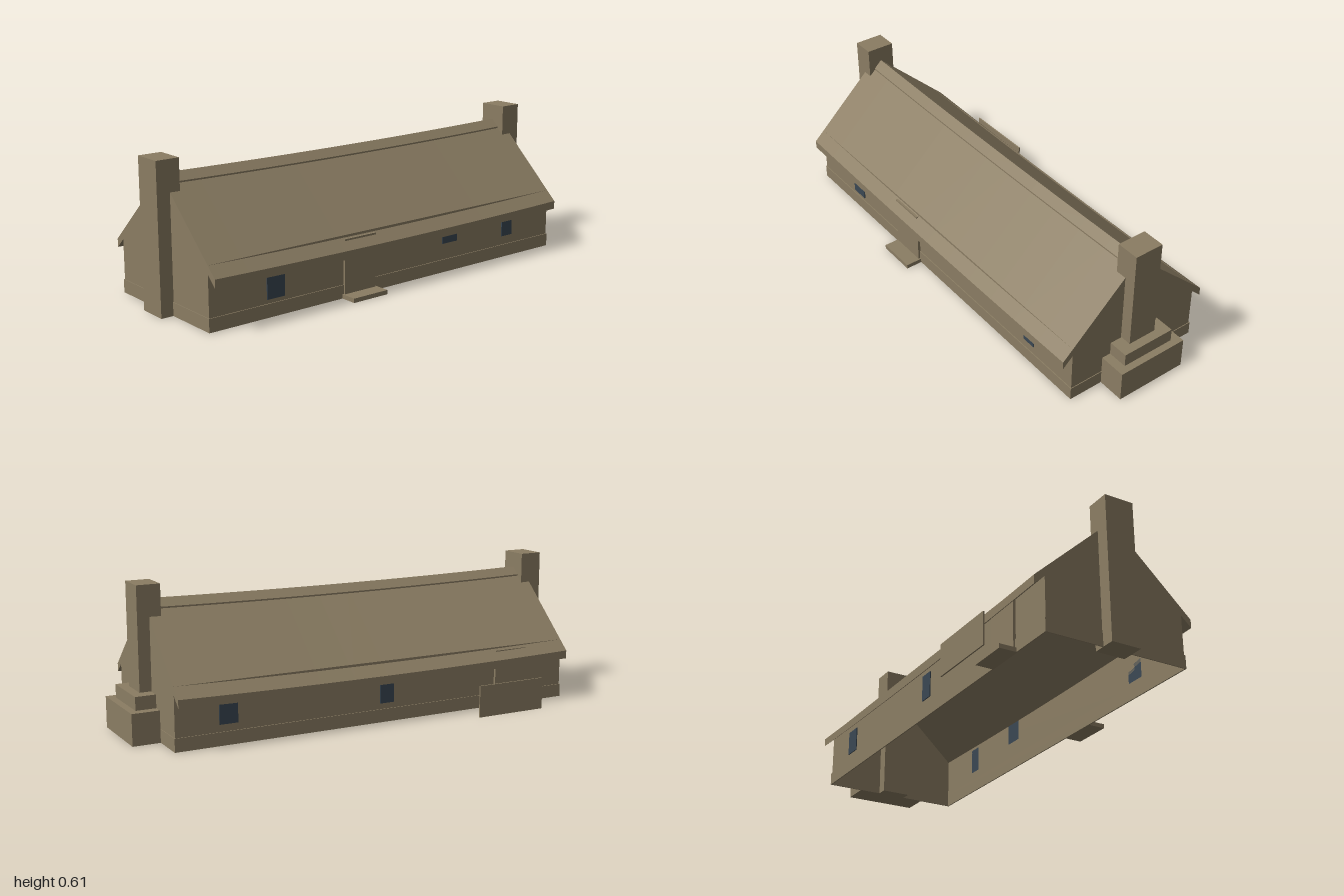
import * as THREE from 'three';

const HALF_W = 0.305, HALF_L = 0.906;

export function createModel() {
  const stone = new THREE.MeshStandardMaterial({ color: 0x8b7d63, side: THREE.DoubleSide });
  stone.name = 'weathered tan';
  const glass = new THREE.MeshStandardMaterial({ color: 0x3a4753 });
  glass.name = 'dark window';

  const model = new THREE.Group();
  model.name = 'longhouse';
  const house = new THREE.Group();
  house.name = 'house';
  house.position.set(0.02, 0, 0.03);
  house.rotation.y = -0.2395;
  model.add(house);

  const add = (name, geometry, material = stone) => {
    const mesh = new THREE.Mesh(geometry, material);
    mesh.name = name;
    house.add(mesh);
    return mesh;
  };
  // Box given by its lower and upper limits
  const box = (name, x0, x1, y0, y1, z0, z1, material) =>
    add(name, new THREE.BoxGeometry(x1 - x0, y1 - y0, z1 - z0), material)
      .position.set((x0 + x1) / 2, (y0 + y1) / 2, (z0 + z1) / 2);
  const outline = (points) => new THREE.Shape(points.map(([x, y]) => new THREE.Vector2(x, y)));

  // Cross-section run along the house, dipping towards the middle
  const saggingSweep = (name, points, halfLength) => {
    const geometry = new THREE.ExtrudeGeometry(outline(points),
      { depth: 2 * halfLength, steps: 12, bevelEnabled: false });
    geometry.translate(0, 0, -halfLength);
    const p = geometry.attributes.position;
    for (let i = 0; i < p.count; i++) {
      p.setY(i, p.getY(i) - 0.01 * (1 - (p.getZ(i) / HALF_L) ** 2));
    }
    geometry.computeVertexNormals();
    add(name, geometry);
  };

  // Roof and ridge cap
  saggingSweep('roof', [[-0.35, 0.18], [0, 0.505], [0.35, 0.18], [0.35, 0.215], [0, 0.54], [-0.35, 0.215]], HALF_L);
  saggingSweep('ridgeCap', [[-0.035, 0.506], [0, 0.538], [0.035, 0.506], [0.035, 0.514], [0, 0.546], [-0.035, 0.514]], 0.904);

  // Walls, open underneath
  const gable = outline([[-HALF_W, 0], [HALF_W, 0], [HALF_W, 0.222], [0, 0.505], [-HALF_W, 0.222]]);
  for (const side of [1, -1]) {
    const end = add(side > 0 ? 'frontGable' : 'backGable', new THREE.ShapeGeometry(gable));
    end.position.z = side * HALF_L;
    if (side < 0) end.rotation.y = Math.PI;
    const wall = add(side > 0 ? 'leftWall' : 'rightWall', new THREE.PlaneGeometry(2 * HALF_L, 0.257));
    wall.position.set(side * HALF_W, 0.1285, 0);
    wall.rotation.y = side * Math.PI / 2;
  }

  // Plinth ring around the foot of the walls
  const rectangle = (w, l) => [[-w, -l], [w, -l], [w, l], [-w, l]];
  const ring = outline(rectangle(HALF_W + 0.004, HALF_L + 0.003));
  ring.holes.push(outline(rectangle(HALF_W - 0.001, HALF_L - 0.001)));
  const plinth = add('plinth', new THREE.ExtrudeGeometry(ring, { depth: 0.055, bevelEnabled: false }));
  plinth.rotation.x = -Math.PI / 2;

  // Chimneys, the back one with a stepped base
  box('frontChimney', -0.064, 0.062, 0, 0.61, 0.862, 0.962);
  box('backChimney', -0.062, 0.064, 0, 0.61, -0.956, -0.858);
  box('backChimneyBase', -0.157, 0.157, 0, 0.13, -1.024, -0.909);
  box('backChimneyShoulder', -0.118, 0.118, 0.13, 0.185, -0.994, -0.909);

  // Doors with their steps: side, step start, step end
  for (const [side, z0, z1] of [[1, 0.11, 0.282], [-1, 0.546, 0.716]]) {
    const span = (a, b) => (side > 0 ? [a, b] : [-b, -a]);
    box('door', ...span(0.306, 0.317), 0, 0.244, z0 + 0.007, z1 - 0.007);
    box('doorStep', ...span(0.306, 0.381), 0, 0.018, z0, z1);
  }

  // Windows: side, centre along the wall, width, sill, top
  for (const [side, z, width, sill, top] of [
    [1, 0.605, 0.083, 0.072, 0.185],
    [1, -0.301, 0.085, 0.125, 0.225],
    [1, -0.646, 0.062, 0.094, 0.205],
    [-1, -0.685, 0.078, 0.085, 0.19],
    [-1, 0.02, 0.065, 0.08, 0.19],
  ]) {
    const x = side * (HALF_W + 0.002);
    box('window', x - 0.002, x + 0.002, sill, top, z - width / 2, z + width / 2, glass);
  }

  // Free-standing screen beside the right door
  box('screen', -0.443, -0.437, 0, 0.135, 0.39, 0.709);

  return model;
}
